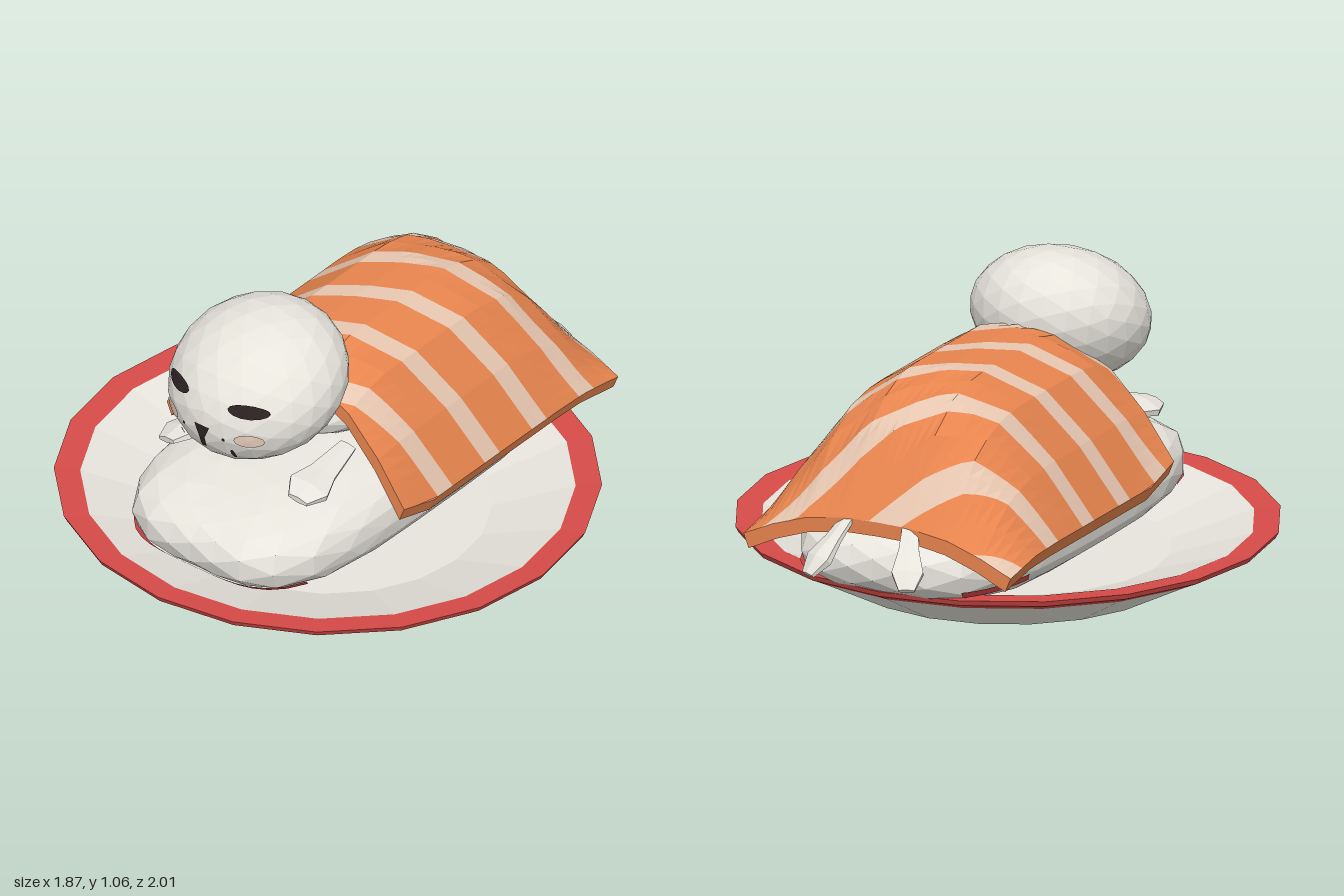
import * as THREE from 'three';

const mat = (name, color, side = THREE.FrontSide) => {
  const m = new THREE.MeshStandardMaterial({ color, side, flatShading: true });
  m.name = name;
  return m;
};
const lerpTable = (table, t, col) => {
  for (let i = 1; i < table.length; i++) {
    const a = table[i - 1], b = table[i];
    if (t <= b[0]) return THREE.MathUtils.lerp(a[col], b[col], Math.max(0, (t - a[0]) / (b[0] - a[0])));
  }
  return table[table.length - 1][col];
};

// Blanket: z, ridge height, side edge height; and across: |u|, share of the height
const ROWS = [[-0.85, 0.45, 0.33], [-0.67, 0.73, 0.36], [-0.53, 0.83, 0.365], [-0.38, 0.865, 0.365],
  [-0.12, 0.865, 0.365], [0.15, 0.865, 0.365], [0.31, 0.78, 0.41]];
const ARCH = [[0, 1], [0.24, 0.98], [0.53, 0.79], [0.78, 0.43], [1, 0]];
const FOLDS = [-1, -0.78, -0.53, -0.24, 0, 0.24, 0.53, 0.78, 1];
const HALF = 0.515, SLANT = 0.62;
const top = (x, z) => {
  const low = lerpTable(ROWS, z, 2), high = lerpTable(ROWS, z, 1);
  return [x, low + (high - low) * lerpTable(ARCH, Math.abs(x) / HALF, 1), z];
};
const under = (x, z) => [x * 0.96, top(x, z)[1] - 0.05, z];

// Loaf: a ball squared off in plan
const loafPoint = (v) => {
  const p = 3.8, plan = Math.hypot(v.x, v.z);
  const s = plan < 1e-6 ? 1 : plan / (Math.abs(v.x) ** p + Math.abs(v.z) ** p) ** (1 / p);
  return v.set(v.x * s * 0.43, 0.29 + Math.sign(v.y) * Math.abs(v.y) ** 0.78 * 0.2, v.z * s * 0.86 - 0.03);
};

export function createModel() {
  const root = new THREE.Group();
  const white = mat('white', 0xedeae2);
  const red = mat('plate red', 0xd64b48, THREE.DoubleSide);
  const orange = mat('salmon orange', 0xea864f, THREE.DoubleSide);
  const stripe = mat('pale stripe', 0xe6c6b0, THREE.DoubleSide);
  const dark = mat('face dark', 0x2c2122, THREE.DoubleSide);
  const blush = mat('blush', 0xe8cdbc, THREE.DoubleSide);

  const add = (name, geo, material, parent = root) => {
    const m = new THREE.Mesh(geo, material);
    m.name = name;
    parent.add(m);
    return m;
  };
  const fromPoints = (pts) => {
    const g = new THREE.BufferGeometry();
    g.setAttribute('position', new THREE.Float32BufferAttribute(pts.flat(), 3));
    g.computeVertexNormals();
    return g;
  };
  const quad = (out, a, b, c, d) => out.push(a, b, c, a, c, d);
  const latheGeo = (pts, sides) => new THREE.LatheGeometry(pts.map((p) => new THREE.Vector2(...p)), sides);
  const ball = (name, pos, scale) => {
    const m = add(name, new THREE.IcosahedronGeometry(1, 3), white);
    m.position.set(...pos);
    m.scale.set(...scale);
    return m;
  };

  // Plate
  const ring = (name, pts, material) => {
    const m = add(name, latheGeo(pts, 20), material);
    m.position.z = 0.08;
    m.scale.z = 0.985;
  };
  ring('plateUnderside', [[0, 0.012], [0.52, 0.012], [0.53, 0], [0.57, 0], [0.865, 0.152]], white);
  ring('plateRim', [[0.865, 0.152], [0.925, 0.18], [0.935, 0.2], [0.845, 0.193]], red);
  ring('plateInside', [[0.845, 0.193], [0.56, 0.1], [0, 0.1]], white);

  // Rice loaf
  const loaf = new THREE.IcosahedronGeometry(1, 4);
  const pos = loaf.attributes.position, v = new THREE.Vector3();
  for (let i = 0; i < pos.count; i++) {
    loafPoint(v.fromBufferAttribute(pos, i));
    pos.setXYZ(i, v.x, v.y, v.z);
  }
  loaf.computeVertexNormals();
  add('riceLoaf', loaf, white);

  // Thin red bands low on the loaf
  const band = (name, from, to) => {
    const pts = [], n = 16;
    const at = (i, y) => {
      const a = THREE.MathUtils.degToRad(from + (to - from) * i / n), r = Math.sqrt(1 - y * y);
      const p = loafPoint(new THREE.Vector3(Math.sin(a) * r, y, Math.cos(a) * r));
      return [p.x * 1.008, p.y, p.z * 1.008];
    };
    for (let i = 0; i < n; i++) quad(pts, at(i, -0.32), at(i + 1, -0.32), at(i + 1, -0.19), at(i, -0.19));
    add(name, fromPoints(pts), red);
  };
  band('frontBand', -47, 47);
  band('backBandLeft', 121, 142);
  band('backBandRight', 218, 239);

  // Animal lying on the loaf
  ball('torso', [0, 0.57, -0.18], [0.27, 0.15, 0.52]);
  const head = ball('head', [0, 0.82, 0.455], [0.31, 0.23, 0.317]);
  head.rotation.x = 0.38;
  head.updateMatrixWorld();

  // Flippers: flat paddles that widen towards the tip
  const paddle = latheGeo([[0, -0.5], [0.4, -0.5], [0.65, 0], [1, 0.28], [0.5, 0.5], [0, 0.5]], 6).rotateX(Math.PI / 2);
  const flipper = (name, from, to, width, thick) => {
    const a = new THREE.Vector3(...from), b = new THREE.Vector3(...to);
    const m = add(name, paddle, white);
    m.position.lerpVectors(a, b, 0.5);
    m.lookAt(b);
    m.scale.set(width, thick, a.distanceTo(b));
    return m;
  };
  for (const s of [1, -1]) {
    const side = s > 0 ? 'Left' : 'Right';
    flipper('frontFlipper' + side, [s * 0.24, 0.535, 0.27], [s * 0.285, 0.508, 0.6], 0.085, 0.024).rotateZ(-s * 0.25);
    flipper('hindFlipper' + side, [s * 0.1, 0.49, -0.79], [s * 0.19, 0.275, -0.99], 0.062, 0.024);
  }

  // Face details laid on the head
  const inverse = head.matrixWorld.clone().invert();
  const onHead = (x, y, lift) => {
    const o = new THREE.Vector3(x, y, 2).applyMatrix4(inverse);
    const d = new THREE.Vector3(x, y, 1).applyMatrix4(inverse).sub(o);
    const a = d.dot(d), b = o.dot(d), c = o.dot(o) - 1;
    const t = (-b - Math.sqrt(Math.max(0, b * b - a * c))) / a;
    return [x, y, 2 - t + lift];
  };
  const patch = (name, outline, material, lift = 0.005) => {
    const n = outline.length, pts = [];
    const cx = outline.reduce((s, p) => s + p[0], 0) / n, cy = outline.reduce((s, p) => s + p[1], 0) / n;
    outline.forEach((p, i) => pts.push(onHead(cx, cy, lift), onHead(...p, lift), onHead(...outline[(i + 1) % n], lift)));
    add(name, fromPoints(pts), material);
  };
  const oval = (cx, cy, rx, ry, tilt = 0) => Array.from({ length: 14 }, (_, i) => {
    const a = i / 14 * Math.PI * 2, x = Math.cos(a) * rx;
    return [cx + x, cy + Math.sin(a) * ry + x * tilt];
  });
  for (const s of [1, -1]) {
    const side = s > 0 ? 'Left' : 'Right';
    patch('eye' + side, oval(s * 0.15, 0.864, 0.066, 0.022, -s * 0.06), dark);
    patch('blush' + side, oval(s * 0.165, 0.758, 0.045, 0.026), blush, 0.004);
    patch('mouthCorner' + side, oval(s * 0.108, 0.69, 0.007, 0.022), dark);
    patch('whiskerDot' + side, oval(s * 0.085, 0.752, 0.006, 0.006), dark);
  }
  patch('nose', [[-0.032, 0.782], [-0.012, 0.735], [-0.01, 0.692], [0.01, 0.692], [0.012, 0.735], [0.032, 0.782]], dark);

  // Striped blanket: slanted bands, clipped to its front and back edges
  const lines = [[0.66, 0]];
  for (let k = 0; k < 7; k++) {
    const c = 0.405 - 0.255 * k;
    lines.push([c + 0.04, 1], [c - 0.04, 0]);
  }
  lines.push([-1.3, 0]);
  const tops = [[], []], N = 32;
  const onTop = (i, c) => {
    const j = Math.min(Math.floor(i / 4), 7);
    const x = THREE.MathUtils.lerp(FOLDS[j], FOLDS[j + 1], i / 4 - j) * HALF;
    return top(x, THREE.MathUtils.clamp(c - SLANT * x, -0.85, 0.31));
  };
  for (let k = 0; k + 1 < lines.length; k++) {
    for (let h = 0; h < 2; h++) {
      const [c0, c1] = [h / 2, (h + 1) / 2].map((t) => THREE.MathUtils.lerp(lines[k][0], lines[k + 1][0], t));
      for (let i = 0; i < N; i++) {
        const q = [onTop(i, c0), onTop(i + 1, c0), onTop(i + 1, c1), onTop(i, c1)];
        if (q[0][2] - q[3][2] + q[1][2] - q[2][2] > 1e-5) quad(tops[lines[k][1]], ...q);
      }
    }
  }
  const blanket = new THREE.Group();
  blanket.name = 'blanket';
  root.add(blanket);
  add('blanketTop', fromPoints(tops[0]), orange, blanket);
  add('blanketStripes', fromPoints(tops[1]), stripe, blanket);

  // Blanket underside and edges
  const base = [];
  const xs = FOLDS.map((u) => u * HALF), zs = ROWS.map((r) => r[0]);
  for (let i = 0; i + 1 < xs.length; i++) {
    const [a, b] = [xs[i], xs[i + 1]];
    for (let j = 0; j + 1 < zs.length; j++)
      quad(base, under(a, zs[j]), under(b, zs[j]), under(b, zs[j + 1]), under(a, zs[j + 1]));
    quad(base, under(a, 0.31), under(b, 0.31), top(b, 0.31), top(a, 0.31));
    quad(base, under(b, -0.85), under(a, -0.85), top(a, -0.85), top(b, -0.85));
  }
  for (let j = 0; j + 1 < zs.length; j++) {
    const [a, b] = [zs[j], zs[j + 1]];
    quad(base, under(HALF, b), under(HALF, a), top(HALF, a), top(HALF, b));
    quad(base, under(-HALF, a), under(-HALF, b), top(-HALF, b), top(-HALF, a));
  }
  add('blanketUnderside', fromPoints(base), orange, blanket);
  return root;
}
